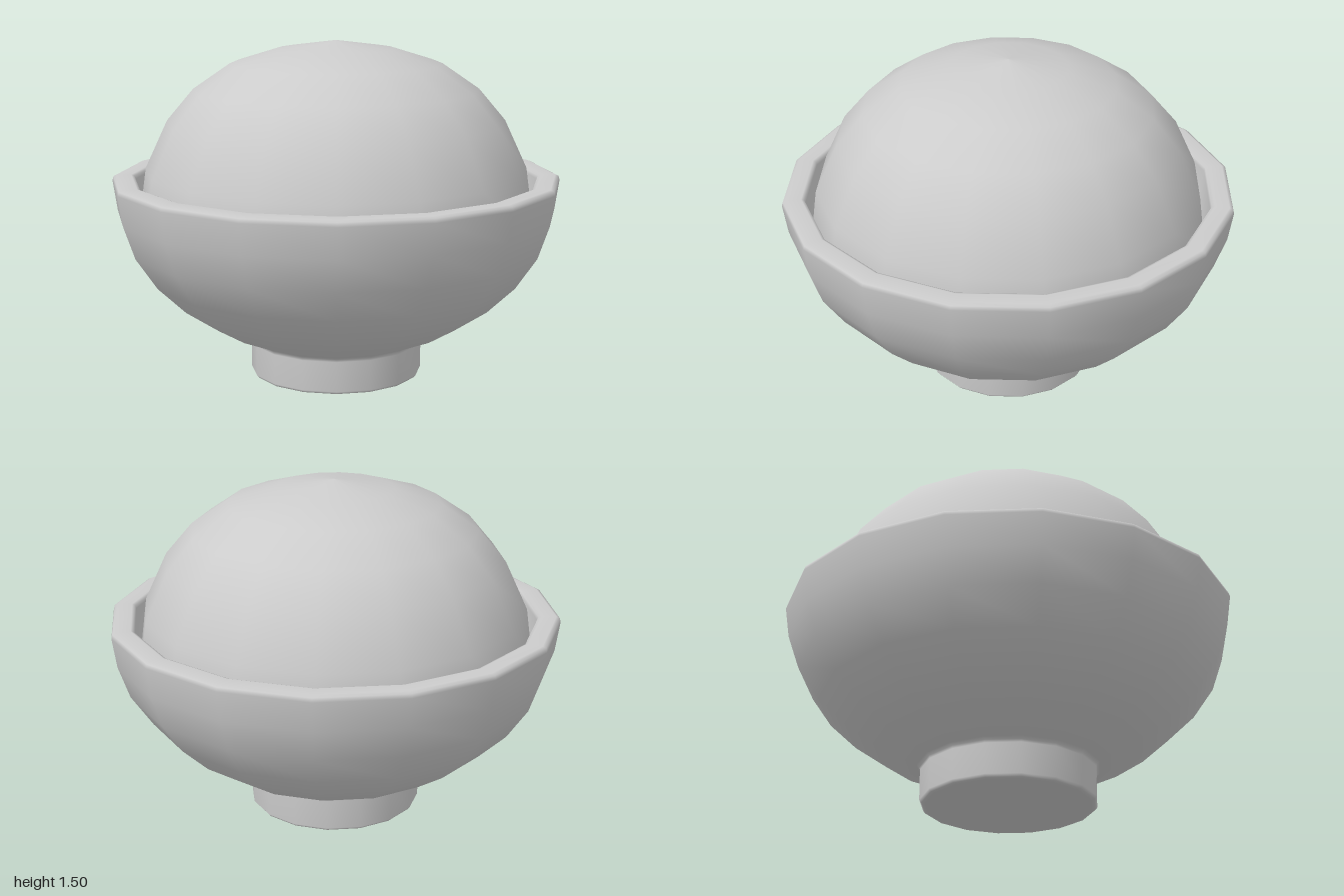
import * as THREE from 'three';

const SIDES = 16;

// Revolve a profile of [radius, height] pairs, listed so the surface faces outwards
function turned(name, profile) {
  const points = profile.map(([r, y]) => new THREE.Vector2(r, y));
  const material = new THREE.MeshStandardMaterial({ color: 0xcccccc });
  const mesh = new THREE.Mesh(new THREE.LatheGeometry(points, SIDES), material);
  mesh.name = name;
  return mesh;
}

export function createModel() {
  const model = new THREE.Group();
  model.name = 'filledBowl';

  // Bowl: foot, outer wall, softened rim, then down the inner wall
  model.add(turned('bowl', [
    [0, 0], [0.36, 0], [0.375, 0.003], [0.385, 0.015], // foot base
    [0.385, 0.15], [0.388, 0.162], [0.4, 0.172], // foot side
    [0.56, 0.24], [0.71, 0.34], [0.835, 0.46], [0.93, 0.6], [0.98, 0.745], // outer wall
    [1, 0.88], [0.995, 0.898], [0.98, 0.905], // rim
    [0.915, 0.905], [0.902, 0.9], [0.897, 0.885],
    [0.88, 0.75], [0.835, 0.625], [0.755, 0.51], [0.645, 0.41], // inner wall
    [0.51, 0.325], [0.35, 0.26], [0, 0.23],
  ]));

  // Rounded mound filling the bowl, sunk below the rim
  model.add(turned('mound', [
    [0, 0.33], [0.4, 0.37], [0.7, 0.5], [0.83, 0.61], [0.88, 0.72],
    [0.85, 0.935], [0.75, 1.15], [0.632, 1.29], [0.468, 1.403], [0.26, 1.468], [0, 1.505],
  ]));

  return model;
}
